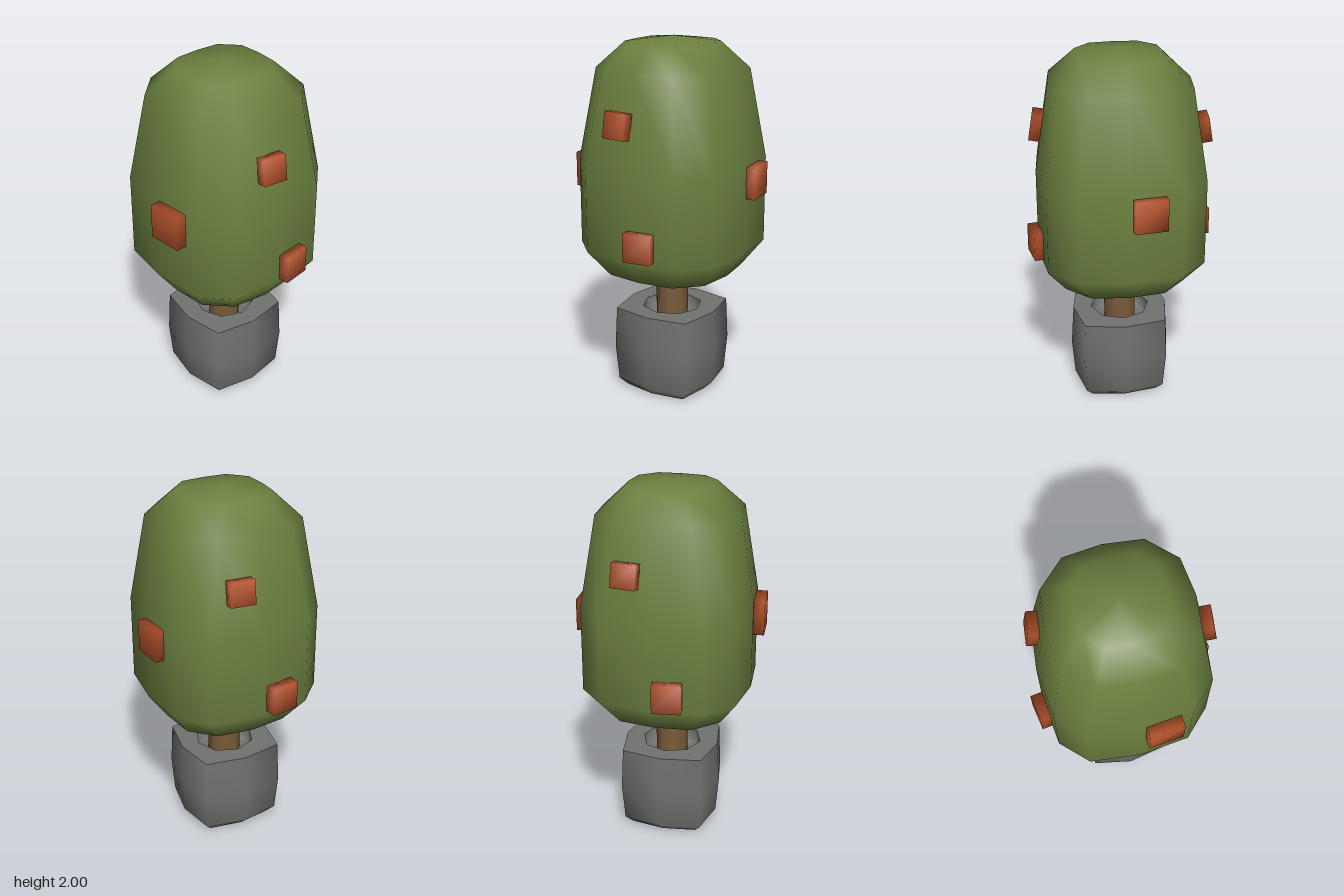
import * as THREE from 'three';
import { mergeVertices } from 'three/addons/utils/BufferGeometryUtils.js';

// Repeat the corner points of one quarter around the y axis.
function ring(y, quarter) {
  const points = [];
  for (let q = 0; q < 4; q++) {
    for (const [px, pz] of quarter) {
      let x = px, z = pz;
      for (let k = 0; k < q; k++) [x, z] = [-z, x];
      points.push([x, y, z]);
    }
  }
  return points;
}

// Smooth skin over rings listed from the bottom up along the profile.
function loft(rings) {
  const n = rings[0].length;
  const index = [];
  for (let i = 0; i < rings.length - 1; i++) {
    for (let j = 0; j < n; j++) {
      const a = i * n + j, b = i * n + (j + 1) % n;
      index.push(a, a + n, b + n, a, b + n, b);
    }
  }
  const geometry = new THREE.BufferGeometry();
  geometry.setAttribute('position', new THREE.Float32BufferAttribute(rings.flat(2), 3));
  geometry.setIndex(index);
  const merged = mergeVertices(geometry, 1e-4);
  merged.computeVertexNormals();
  return merged;
}

// Box whose corners share normals, for soft shading.
function softBox(w, h, d) {
  const box = new THREE.BoxGeometry(w, h, d);
  box.deleteAttribute('normal');
  box.deleteAttribute('uv');
  const merged = mergeVertices(box);
  merged.computeVertexNormals();
  return merged;
}

export function createModel() {
  const group = new THREE.Group();
  const material = (name, color) => {
    const m = new THREE.MeshStandardMaterial({ color });
    m.name = name;
    return m;
  };
  const leaf = material('leafGreen', 0x6c8040);
  const fruitRed = material('fruitOrange', 0xb5532c);
  const bark = material('barkBrown', 0x7a5c3a);
  const stone = material('stoneGrey', 0x70736f);

  const add = (name, geometry, mat, parent = group) => {
    const mesh = new THREE.Mesh(geometry, mat);
    mesh.name = name;
    parent.add(mesh);
    return mesh;
  };

  // Foliage: twelve-sided rings, [y, side middle, corner far, corner near]
  const foliage = [
    [0.685, 0, 0, 0],
    [0.715, 0.35, 0.325, 0.2],
    [0.86, 0.455, 0.425, 0.28],
    [1.34, 0.455, 0.425, 0.28],
    [1.83, 0.378, 0.355, 0.21],
    [1.97, 0.23, 0.22, 0.13],
    [2.0, 0, 0, 0],
  ].map(([y, m, a, b]) => ring(y, [[m, 0], [a, b], [b, a]]));
  add('foliage', loft(foliage), leaf).position.z = -0.005;

  // Trunk
  const trunk = add('trunk', new THREE.CylinderGeometry(0.09, 0.09, 0.36, 8), bark);
  trunk.position.y = 0.56;
  trunk.rotation.y = Math.PI / 8;

  // Pot: eight-sided rings, [y, side middle, corner]
  const pot = new THREE.Group();
  pot.name = 'pot';
  group.add(pot);
  const potSkin = (rows) => loft(rows.map(([y, m, c]) => ring(y, [[m, 0], [c, c]])));
  add('potBody', potSkin([
    [0, 0, 0], [0, 0.215, 0.185], [0.045, 0.262, 0.22], [0.25, 0.28, 0.234], [0.48, 0.267, 0.226],
  ]), stone, pot);
  add('potRim', potSkin([[0.48, 0.267, 0.226], [0.48, 0.165, 0.118]]), stone, pot);
  add('potInside', potSkin([[0.48, 0.165, 0.118], [0.4, 0.15, 0.108], [0.4, 0, 0]]), stone, pot);

  // Fruit blocks: [size, position, turn about y, tilt about z]
  const fruits = [
    ['frontFruit', [0.192, 0.19, 0.08], [0.12, 1.253, 0.458], 0.1, 0],
    ['backFruit', [0.175, 0.175, 0.07], [-0.09, 1.253, -0.465], 0.1, 0],
    ['leftLowFruit', [0.07, 0.155, 0.155], [0.465, 0.96, -0.087], 0.16, 0],
    ['rightLowFruit', [0.07, 0.155, 0.155], [-0.472, 0.96, 0.098], 0.16, 0],
    ['leftHighFruit', [0.06, 0.14, 0.135], [0.44, 1.583, 0.055], -0.12, 0.16],
    ['rightHighFruit', [0.06, 0.13, 0.135], [-0.432, 1.59, -0.13], -0.11, -0.16],
  ];
  for (const [name, size, position, turn, tilt] of fruits) {
    const fruit = add(name, softBox(...size), fruitRed);
    fruit.position.set(...position);
    fruit.rotation.set(0, turn, tilt);
  }
  return group;
}
